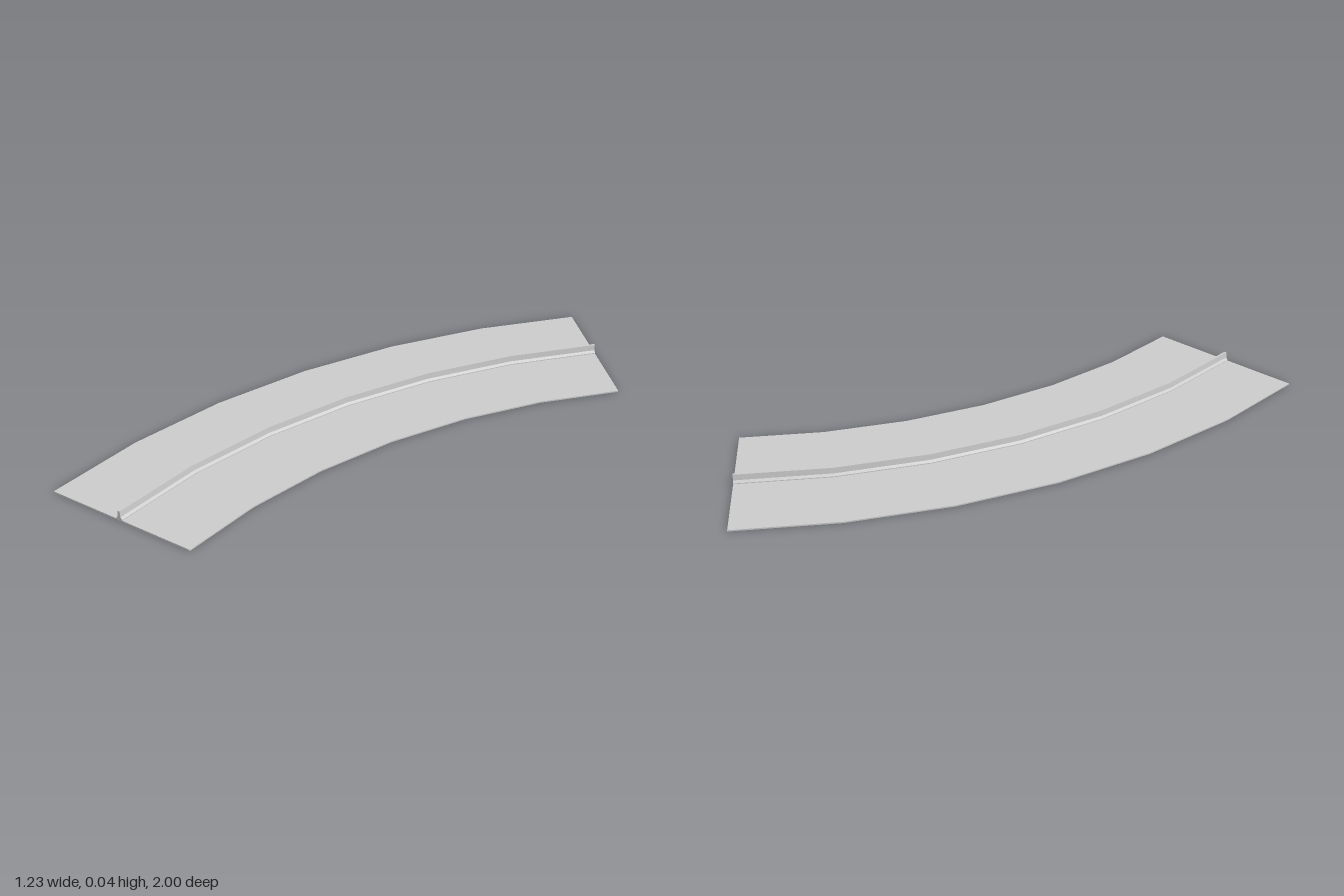
import * as THREE from 'three';

const SEGMENTS = 6;
const SWEEP = Math.PI / 4;
const CENTER_X = 2.213, CENTER_Z = 1; // centre of the bend
const R_OUTER = 2.828, R_INNER = 2.257, R_BARRIER = 2.545;
const ROAD_TOP = 0.005;

const material = new THREE.MeshStandardMaterial({ color: 0xcccccc });

// Sweeps a closed counter-clockwise (radius, height) profile around the bend.
// Every profile edge is its own strip: smooth along the bend, sharp across it.
function sweepProfile(name, profile) {
  const positions = [], index = [];
  const add = ([r, y], angle) => {
    positions.push(CENTER_X - r * Math.cos(angle), y, CENTER_Z - r * Math.sin(angle));
    return positions.length / 3 - 1;
  };

  profile.forEach((a, i) => {
    const b = profile[(i + 1) % profile.length];
    const base = positions.length / 3;
    for (let s = 0; s <= SEGMENTS; s++) {
      add(a, (SWEEP * s) / SEGMENTS);
      add(b, (SWEEP * s) / SEGMENTS);
      if (s < SEGMENTS) {
        const k = base + s * 2;
        index.push(k, k + 1, k + 3, k, k + 3, k + 2);
      }
    }
  });

  // End caps
  const outline = profile.map(([r, y]) => new THREE.Vector2(r, y));
  const triangles = THREE.ShapeUtils.triangulateShape(outline, []);
  for (const angle of [0, SWEEP]) {
    const base = positions.length / 3;
    profile.forEach((p) => add(p, angle));
    for (const [a, b, c] of triangles) {
      if (angle === 0) index.push(base + a, base + c, base + b);
      else index.push(base + a, base + b, base + c);
    }
  }

  const geometry = new THREE.BufferGeometry();
  geometry.setAttribute('position', new THREE.Float32BufferAttribute(positions, 3));
  geometry.setIndex(index);
  geometry.computeVertexNormals();
  const mesh = new THREE.Mesh(geometry, material);
  mesh.name = name;
  return mesh;
}

export function createModel() {
  const group = new THREE.Group();
  group.name = 'curvedRoad';

  // Thin road slab
  group.add(sweepProfile('roadSlab', [
    [R_INNER, 0], [R_OUTER, 0], [R_OUTER, ROAD_TOP], [R_INNER, ROAD_TOP],
  ]));

  // Median barrier: low foot, sloped shoulder, nearly upright wall
  const half = [[0.0125, ROAD_TOP], [0.0125, 0.008], [0.006, 0.016], [0.004, 0.037]];
  group.add(sweepProfile('medianBarrier', [
    ...half.map(([w, y]) => [R_BARRIER + w, y]),
    ...half.map(([w, y]) => [R_BARRIER - w, y]).reverse(),
  ]));

  return group;
}
